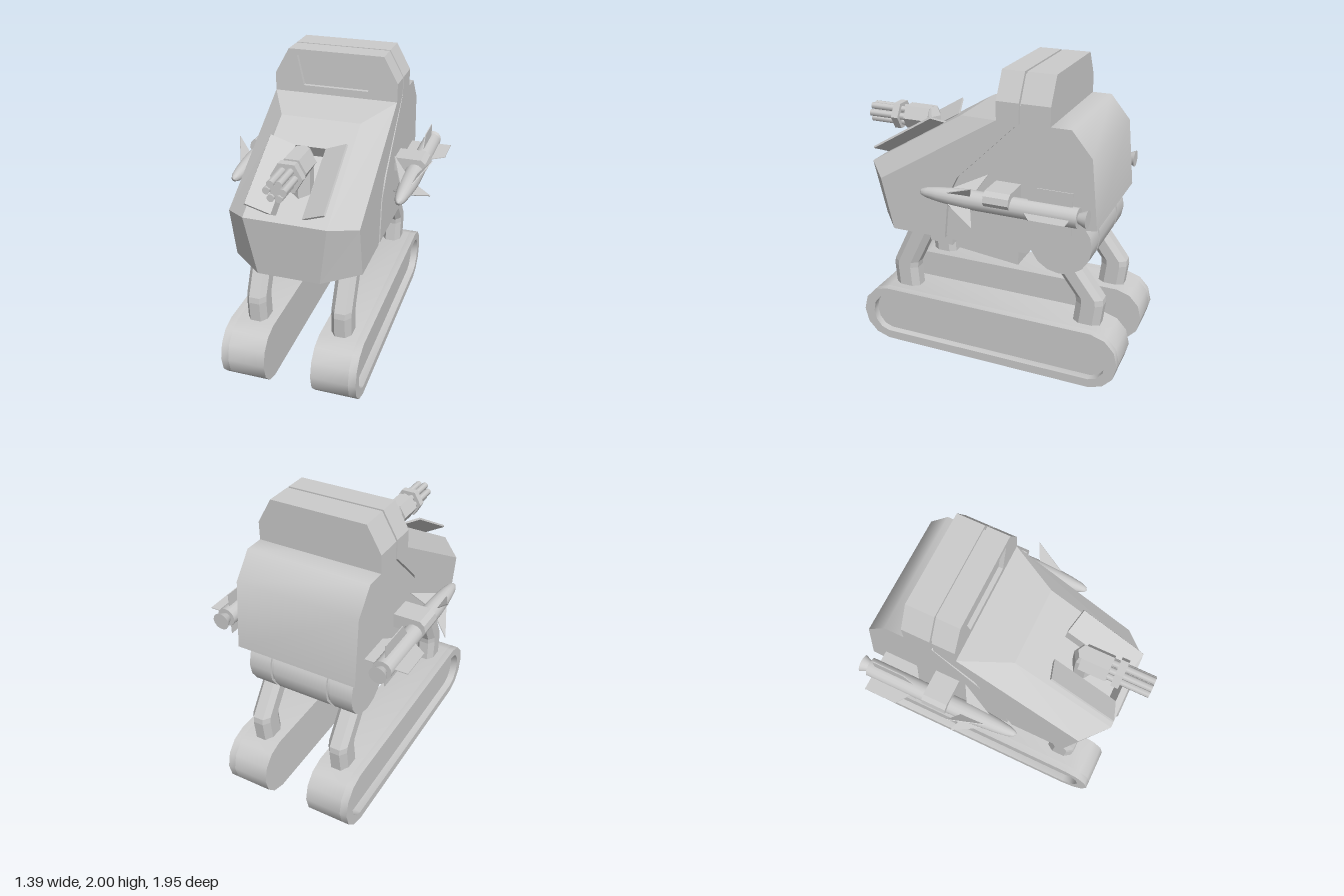
import * as THREE from 'three';
import { toCreasedNormals } from 'three/addons/utils/BufferGeometryUtils.js';

const mat = new THREE.MeshStandardMaterial({ color: 0xcccccc });
const flat = new THREE.MeshStandardMaterial({ color: 0xcccccc, flatShading: true });
const W = 0.415; // hull half width

function add(parent, name, geo, x = 0, y = 0, z = 0, material = mat) {
  const m = new THREE.Mesh(geo, material);
  m.name = name;
  m.position.set(x, y, z);
  parent.add(m);
  return m;
}
const shapeOf = (pts, hole) => {
  const s = new THREE.Shape(pts.map(p => new THREE.Vector2(...p)));
  if (hole) s.holes.push(new THREE.Path(hole.map(p => new THREE.Vector2(...p))));
  return s;
};
const extrude = (pts, depth, hole) =>
  new THREE.ExtrudeGeometry(shapeOf(pts, hole), { depth, bevelEnabled: false });
// Side profile in [z, y], extruded across x from x0 to x1
function sideExtrude(pts, x0, x1, hole, crease = 0.6) {
  const flip = a => a && a.map(([z, y]) => [-z, y]);
  const g = extrude(flip(pts), x1 - x0, flip(hole)).rotateY(Math.PI / 2).translate(x0, 0, 0);
  return toCreasedNormals(g, crease);
}

// Faceted front hull, open on the sloped face where the hatch plate sits
function frontHullGeometry() {
  const A0 = [0.2, 0.86, 0.8], A1 = [0.26, 1.26, 0.85], A2 = [0.26, 1.66, 0.18];
  const B0 = [W, 0.86, 0.62], B1 = [W, 1.21, 0.7], B2 = [W, 1.71, -0.128];
  const E1 = [W, 1.71, -0.275], E2 = [W, 1.3, 0.14], E3 = [W, 1.16, 0.21], E4 = [W, 0.86, 0.24];
  const v = [];
  const mir = p => [-p[0], p[1], p[2]];
  const fan = p => { for (let i = 1; i < p.length - 1; i++) v.push(...p[0], ...p[i], ...p[i + 1]); };
  for (const f of [[A0, B0, B1, A1], [A1, B1, B2, A2], [B1, B0, E4, E3, E2, E1, B2]]) {
    fan(f);
    fan(f.map(mir).reverse());
  }
  const strips = [[A0, A1], [A2, B2], [B2, E1], [E1, E2], [E2, E3], [E3, E4], [E4, B0], [B0, A0]];
  for (const [p, q] of strips) fan([p, q, mir(q), mir(p)]);
  const g = new THREE.BufferGeometry();
  g.setAttribute('position', new THREE.Float32BufferAttribute(v, 3));
  g.computeVertexNormals();
  return g;
}

// Eight-sided leg lofted downwards through [z, y] centres
function legGeometry(path) {
  const v = [], idx = [];
  const ring = [[0.067, 0.045], [0.035, 0.09], [-0.035, 0.09], [-0.067, 0.045],
    [-0.067, -0.045], [-0.035, -0.09], [0.035, -0.09], [0.067, -0.045]];
  for (const [z, y] of path) for (const [a, b] of ring) v.push(a, y, z + b);
  for (let i = 0; i < path.length - 1; i++) for (let j = 0; j < 8; j++) {
    const a = i * 8 + j, b = i * 8 + (j + 1) % 8;
    idx.push(a, b, a + 8, b, b + 8, a + 8);
  }
  const g = new THREE.BufferGeometry();
  g.setAttribute('position', new THREE.Float32BufferAttribute(v, 3));
  g.setIndex(idx);
  g.computeVertexNormals();
  return g;
}

function makeMissile() {
  const m = new THREE.Group();
  m.name = 'missile';
  const profile = [[0, -0.71], [0.062, -0.71], [0.062, 0], [0.056, 0.1], [0.046, 0.2],
    [0.034, 0.28], [0.02, 0.32], [0, 0.335]].map(p => new THREE.Vector2(...p));
  add(m, 'missileBody', toCreasedNormals(new THREE.LatheGeometry(profile, 16).rotateX(Math.PI / 2), 0.6));
  add(m, 'missileNozzle', new THREE.CylinderGeometry(0.03, 0.057, 0.06, 16).rotateX(Math.PI / 2), 0, 0, -0.735);
  const fin = (name, pts, angle) => add(m, name,
    extrude(pts, 0.006).translate(0, 0, -0.003).rotateY(-Math.PI / 2).rotateZ(angle));
  for (let i = 0; i < 4; i++) {
    const a = i * Math.PI / 2;
    fin('tailFin', [[-0.38, 0.05], [-0.67, 0.05], [-0.67, 0.147], [-0.45, 0.147]], a);
    fin('noseFin', [[0.14, 0.045], [-0.03, 0.05], [-0.08, 0.18]], a + Math.PI / 4);
  }
  return m;
}

// Sloped plate with a hatch pit and two raised doors
function makeHatch() {
  const h = new THREE.Group();
  h.name = 'hatch';
  h.position.set(0, 1.26, 0.85);
  h.rotation.x = -Math.atan2(0.67, 0.4);
  const len = Math.hypot(0.67, 0.4);
  add(h, 'slopePlate', extrude([[-0.26, 0], [0.26, 0], [0.26, len], [-0.26, len]], 0.1,
    [[-0.1, 0.047], [-0.1, 0.56], [0.1, 0.56], [0.1, 0.047]]), 0, 0, -0.1);
  add(h, 'pitFloor', new THREE.BoxGeometry(0.24, 0.56, 0.02), 0, 0.3, -0.1);
  for (const s of [-1, 1]) {
    const door = add(h, 'hatchDoor', new THREE.BoxGeometry(0.166, 0.51, 0.014), s * 0.173, 0.304, 0.036);
    door.rotation.y = -s * 0.5;
  }
  return h;
}

function makeGun() {
  const g = new THREE.Group();
  g.name = 'rotaryGun';
  g.position.set(0, 1.525, 0);
  const rod = (name, r, z0, z1, sides, x = 0, y = 0) =>
    add(g, name, new THREE.CylinderGeometry(r, r, z1 - z0, sides).rotateY(Math.PI / 6).rotateX(Math.PI / 2),
      x, y, (z0 + z1) / 2, sides < 8 ? flat : mat);
  rod('gunReceiver', 0.09, 0.52, 0.7, 6);
  rod('gunSpindle', 0.035, 0.68, 0.96, 10);
  rod('barrelClamp', 0.1, 0.74, 0.79, 6);
  for (let i = 0; i < 6; i++) {
    const a = i * Math.PI / 3;
    rod('barrel', 0.023, 0.69, 0.975, 8, 0.05 * Math.cos(a), 0.05 * Math.sin(a));
  }
  // Neck that turns down from the receiver into the pit
  add(g, 'gunNeck', new THREE.CylinderGeometry(0.05, 0.072, 0.05, 6), 0, 0.052, 0.53, flat);
  add(g, 'gunNeck', new THREE.CylinderGeometry(0.072, 0.072, 0.26, 6), 0, -0.103, 0.53, flat);
  return g;
}

export function createModel() {
  const model = new THREE.Group();
  model.name = 'walkerTank';

  // Hull halves with a recessed seam between them
  add(model, 'frontHull', frontHullGeometry());
  add(model, 'rearHull', sideExtrude([[-0.29, 1.71], [0.085, 1.3], [0.18, 1.16], [0.205, 0.86], [-0.33, 0.86],
    [-0.55, 1.065], [-0.785, 1.1], [-0.738, 1.55], [-0.605, 1.71]], -W, W, null, 0.9));
  add(model, 'hullSeam', sideExtrude([[-0.26, 1.7], [0.15, 1.3], [0.22, 1.16], [0.25, 0.87], [0.19, 0.87],
    [0.165, 1.16], [0.065, 1.3], [-0.31, 1.7]], -0.39, 0.39));
  model.add(makeHatch(), makeGun());

  // Cabin on top, with a recessed window
  const cabin = [[-W, 1.7], [W, 1.7], [W, 1.83], [0.32, 2], [-0.32, 2], [-W, 1.83]];
  add(model, 'windowFrame', extrude(cabin, 0.03, [[-0.22, 1.76], [-0.265, 1.96], [0.265, 1.96], [0.22, 1.76]]), 0, 0, -0.158);
  add(model, 'cabinFront', extrude(cabin, 0.117), 0, 0, -0.275);
  add(model, 'cabinRear', extrude(cabin, 0.185), 0, 0, -0.475);
  add(model, 'cabinSeam', extrude(cabin.map(([x, y]) => [x * 0.95, y - 0.02]), 0.04), 0, 0, -0.3);

  // Hollow belly skirts
  for (const x of [-0.365, 0.335]) {
    add(model, 'frontSkirt', sideExtrude([[0.37, 0.87], [0.37, 0.8], [0.21, 0.79], [0.21, 0.87]], x, x + 0.03));
    add(model, 'bellySkirt', sideExtrude([[0.19, 0.87], [0.165, 0.785], [-0.26, 0.74], [-0.26, 0.87]], x, x + 0.03));
  }
  for (const [z, y] of [[0.225, 0.795], [0.15, 0.787], [-0.245, 0.742]])
    add(model, 'bellyCrossWall', new THREE.BoxGeometry(0.71, 0.88 - y, 0.03), 0, (0.88 + y) / 2, z);

  // Rear axle drum, split by two grooves
  const drum = (name, r, x0, x1) => add(model, name,
    new THREE.CylinderGeometry(r, r, x1 - x0, 16).rotateZ(Math.PI / 2), (x0 + x1) / 2, 0.945, -0.54);
  drum('axleCore', 0.19, -0.36, 0.36);
  drum('axleDrum', 0.207, -0.19, 0.19);
  drum('axleEnd', 0.207, 0.215, 0.37);
  drum('axleEnd', 0.207, -0.37, -0.215);

  // Track outlines, rounded at both ends
  const ends = [[0.69, 0], [0.785, 0.03], [0.85, 0.1], [0.875, 0.2], [0.85, 0.3], [0.785, 0.37], [0.69, 0.4]];
  const outer = [...ends, ...ends.map(([z, y]) => [-0.095 - z, 0.4 - y])];
  const rim = [[0.69, 0.06], [0.745, 0.08], [0.785, 0.13], [0.8, 0.2], [0.785, 0.27], [0.745, 0.32], [0.69, 0.34]];
  const inner = [...rim, ...rim.map(([z, y]) => [-0.095 - z, 0.4 - y])].reverse();

  for (const s of [-1, 1]) {
    const span = (a, b) => s > 0 ? [a, b] : [-b, -a];
    add(model, 'track', sideExtrude(outer, ...span(0.157, 0.405), null, 0.7));
    add(model, 'trackRim', sideExtrude(outer, ...span(0.405, 0.455), inner, 0.7));

    add(model, 'frontLeg', legGeometry([[0.435, 0.9], [0.59, 0.58], [0.595, 0.54], [0.583, 0.38]]), s * 0.288, 0, 0, flat);
    add(model, 'rearLeg', legGeometry([[-0.52, 0.86], [-0.73, 0.58], [-0.735, 0.54], [-0.717, 0.38]]), s * 0.288, 0, 0, flat);

    // Missile on its pylon
    const missile = makeMissile();
    missile.position.set(s * 0.55, 1.23, 0);
    model.add(missile);
    const pylon = [[0.4, 1.23], [0.61, 1.23], [0.63, 1.26], [0.62, 1.3], [0.59, 1.325], [0.4, 1.325]];
    add(model, 'pylon', extrude(pylon.map(([x, y]) => [s * x, y]), 0.165), 0, 0, -0.295);
  }
  return model;
}
